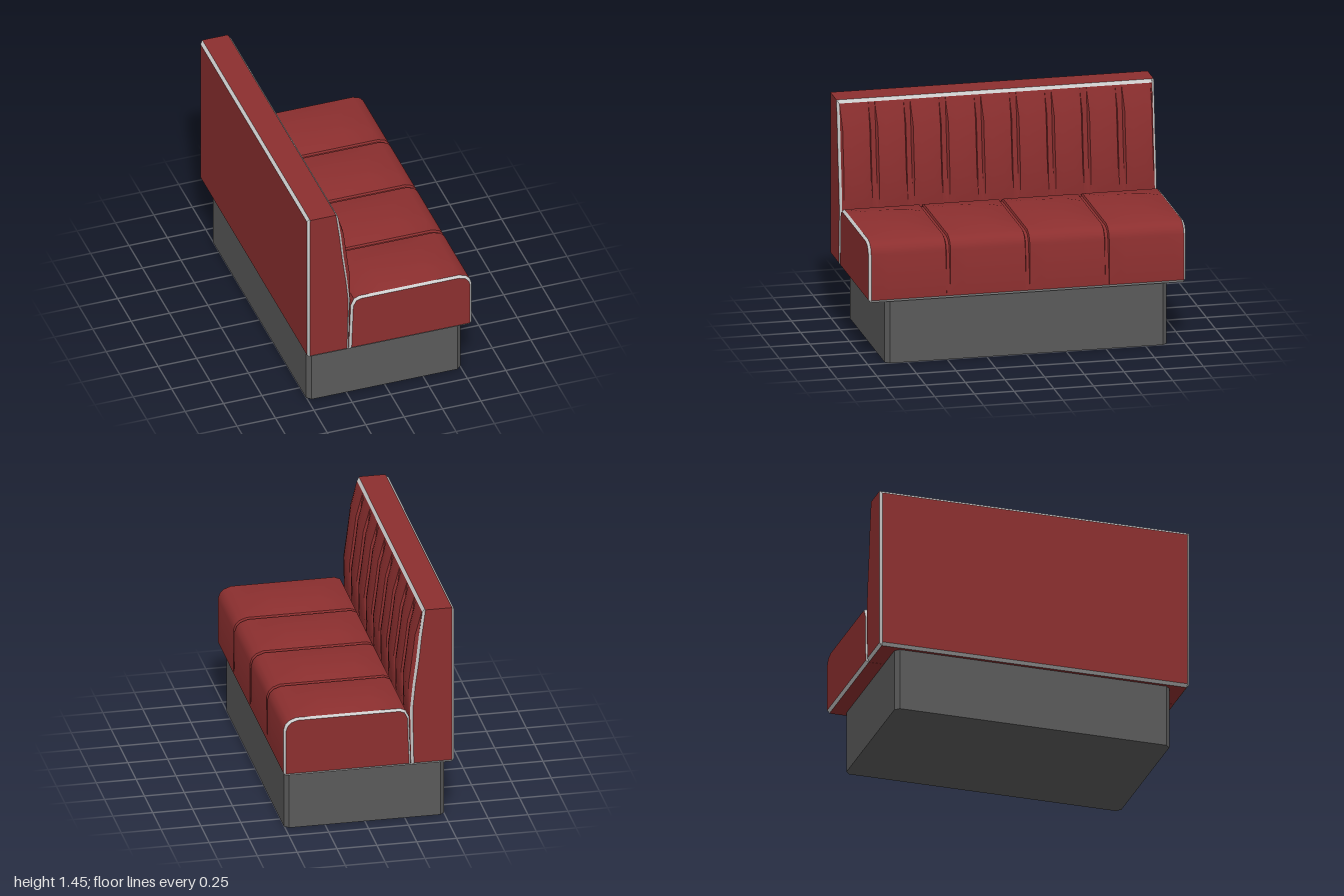
import * as THREE from 'three';
import { toCreasedNormals, mergeGeometries } from 'three/addons/utils/BufferGeometryUtils.js';

const END = 0.985; // where the end piping starts along z
const red = new THREE.MeshStandardMaterial({ color: 0x8c2f2f });
const piping = new THREE.MeshStandardMaterial({ color: 0xcccccc });
const dark = new THREE.MeshStandardMaterial({ color: 0x5a5a5a });

// Skin between cross-sections; each section is { z, pts } with pts counter-clockwise seen from +z
function skin(sections) {
  const pos = [], index = [], n = sections[0].pts.length;
  for (const { z, pts } of sections) for (const [x, y] of pts) pos.push(x, y, z);
  for (let j = 0; j < sections.length - 1; j++) {
    for (let i = 0; i < n - 1; i++) {
      const a = j * n + i, d = a + n;
      index.push(a, a + 1, d + 1, a, d + 1, d);
    }
  }
  const g = new THREE.BufferGeometry();
  g.setAttribute('position', new THREE.Float32BufferAttribute(pos, 3));
  g.setIndex(index);
  return toCreasedNormals(g, 0.6);
}

function add(group, name, material, geometries) {
  const mesh = new THREE.Mesh(mergeGeometries(geometries), material);
  mesh.name = name;
  group.add(mesh);
}

const straight = pts => skin([{ z: -END, pts }, { z: END, pts }]);

// Chamfered strips at both ends, from the outer profile to the inset one
const endStrips = (outer, inner) => [
  skin([{ z: END, pts: outer }, { z: 1, pts: inner }]),
  skin([{ z: -1, pts: inner }, { z: -END, pts: outer }]),
];

// Flat panels closing both ends
const endCaps = pts => [1, -1].map(s => {
  const g = new THREE.ShapeGeometry(new THREE.Shape(pts.map(([x, y]) => new THREE.Vector2(s * x, y))));
  if (s < 0) g.rotateY(Math.PI);
  g.translate(0, 0, s);
  g.deleteAttribute('uv');
  return g.toNonIndexed();
});

function makeSeat() {
  const seat = new THREE.Group();
  seat.name = 'seat';
  const outer = [[0.532, 0.418], [0.532, 0.71], [0.52, 0.745], [0.497, 0.77], [0.45, 0.787], [0.27, 0.787],
    [-0.05, 0.787], [-0.2, 0.787], [-0.235, 0.772], [-0.255, 0.73], [-0.268, 0.4], [0.515, 0.4]];
  const inner = [[0.518, 0.418], [0.518, 0.705], [0.507, 0.737], [0.487, 0.76], [0.445, 0.774], [0.27, 0.774],
    [-0.05, 0.774], [-0.195, 0.774], [-0.225, 0.762], [-0.243, 0.725], [-0.254, 0.418], [0.51, 0.418]];
  const last = outer.length - 1;

  // crown lifts the middle of the top, groove sinks the profile between cushions
  const section = (z, crown, groove) => ({
    z,
    pts: outer.map(([x, y], i) => {
      const g = y > 0.45 ? groove : 0;
      const lift = i === 5 || i === 6 ? crown * 0.027 : 0;
      return [x + (inner[i][0] - x) * g, y + (inner[i][1] - y) * g + lift];
    }),
  });
  const sections = [];
  for (let k = 0; k < 4; k++) {
    const z0 = -1 + k * 0.5, z1 = z0 + 0.5;
    if (k > 0) sections.push(section(z0 + 0.009, 0, 1));
    sections.push(section(z0 + 0.015, 0, 0), section(z0 + 0.12, 0.8, 0), section(z0 + 0.2, 1, 0),
      section(z1 - 0.2, 1, 0), section(z1 - 0.12, 0.8, 0), section(z1 - 0.015, 0, 0));
    if (k < 3) sections.push(section(z1 - 0.009, 0, 1));
  }
  add(seat, 'seatCushions', red, [skin(sections), ...endCaps(inner.slice(0, last))]);
  add(seat, 'seatPiping', piping, [
    straight([outer[last], outer[0]]),
    ...endStrips([...outer, outer[0]], [...inner, inner[0]]),
  ]);
  return seat;
}

function makeBackrest() {
  const back = new THREE.Group();
  back.name = 'backrest';
  const outer = [[-0.27, 0.4], [-0.263, 0.78], [-0.279, 0.94], [-0.3, 1.1], [-0.318, 1.27], [-0.34, 1.425],
    [-0.355, 1.445], [-0.523, 1.445], [-0.54, 1.428], [-0.54, 0.418], [-0.523, 0.4]];
  const inner = [[-0.284, 0.418], [-0.277, 0.78], [-0.293, 0.94], [-0.315, 1.1], [-0.333, 1.27], [-0.354, 1.425],
    [-0.357, 1.445], [-0.523, 1.445], [-0.524, 1.428], [-0.524, 0.418], [-0.521, 0.418]];
  const puff = [0, 0.3, 1, 1, 0.9, 0]; // padding along the front, bottom to top

  // Nine padded vertical channels
  const sections = [];
  const section = (z, b) => sections.push({
    z, pts: puff.map((w, i) => [outer[i][0] + 0.034 * w * b, outer[i][1]]),
  });
  const pitch = 2 / 9;
  for (let k = 0; k < 9; k++) {
    const z0 = -1 + k * pitch, z1 = z0 + pitch;
    section(z0 + 0.015, 0);
    section(z0 + 0.026, 0.7);
    section(z0 + 0.075, 1);
    section(z1 - 0.075, 1);
    section(z1 - 0.026, 0.7);
    section(z1 - 0.015, 0);
  }
  add(back, 'backCushion', red, [
    skin(sections),
    straight(outer.slice(6, 8)),
    straight(outer.slice(8, 10)),
    straight([outer[10], outer[0]]),
    ...endStrips(outer.slice(6, 8), inner.slice(6, 8)),
    ...endCaps(inner),
  ]);
  add(back, 'backPiping', piping, [
    ...[5, 7, 9].map(i => straight(outer.slice(i, i + 2))),
    ...endStrips(outer.slice(0, 7), inner.slice(0, 7)),
    ...endStrips([...outer.slice(7), outer[0]], [...inner.slice(7), inner[0]]),
  ]);
  return back;
}

// Plinth with chamfered upright corners
function makeBase() {
  const x = 0.502, z = 0.888, c = 0.027;
  const shape = new THREE.Shape([[x, -z + c], [x, z - c], [x - c, z], [-x + c, z], [-x, z - c],
    [-x, -z + c], [-x + c, -z], [x - c, -z]].map(p => new THREE.Vector2(...p)));
  const g = new THREE.ExtrudeGeometry(shape, { depth: 0.4, bevelEnabled: false });
  g.rotateX(-Math.PI / 2);
  const base = new THREE.Mesh(g, dark);
  base.name = 'base';
  return base;
}

export function createModel() {
  const model = new THREE.Group();
  model.name = 'boothBench';
  model.add(makeBase(), makeSeat(), makeBackrest());
  return model;
}
